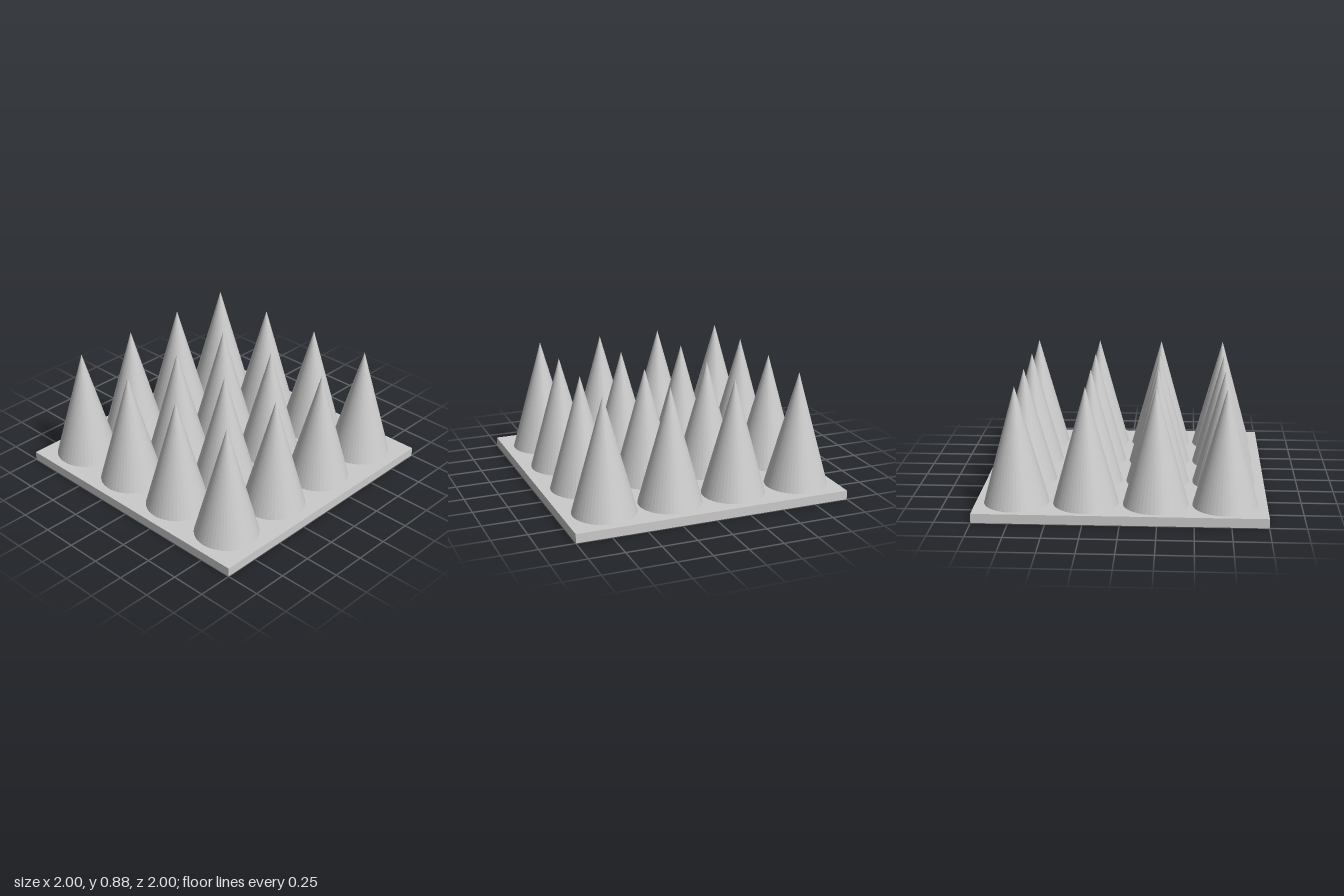
import * as THREE from 'three';

const PLATE_HEIGHT = 0.065;
const CONE_HEIGHT = 0.82;
const CONE_RADIUS = 0.225;
const COLUMNS = [-0.738, -0.247, 0.229, 0.706];
const ROWS = [-0.72, -0.243, 0.236, 0.712];

export function createModel() {
  const model = new THREE.Group();
  model.name = 'spikedPlate';
  const material = new THREE.MeshStandardMaterial({ color: 0xcccccc, flatShading: true });

  // Square base plate
  const plate = new THREE.Mesh(new THREE.BoxGeometry(2, PLATE_HEIGHT, 2), material);
  plate.name = 'basePlate';
  plate.position.y = PLATE_HEIGHT / 2;
  model.add(plate);

  // Four by four grid of cones standing on the plate
  const coneGeometry = new THREE.ConeGeometry(CONE_RADIUS, CONE_HEIGHT, 48);
  ROWS.forEach((z, row) => {
    COLUMNS.forEach((x, column) => {
      const cone = new THREE.Mesh(coneGeometry, material);
      cone.name = `cone row ${row + 1} column ${column + 1}`;
      cone.position.set(x, PLATE_HEIGHT + CONE_HEIGHT / 2, z);
      model.add(cone);
    });
  });

  return model;
}
